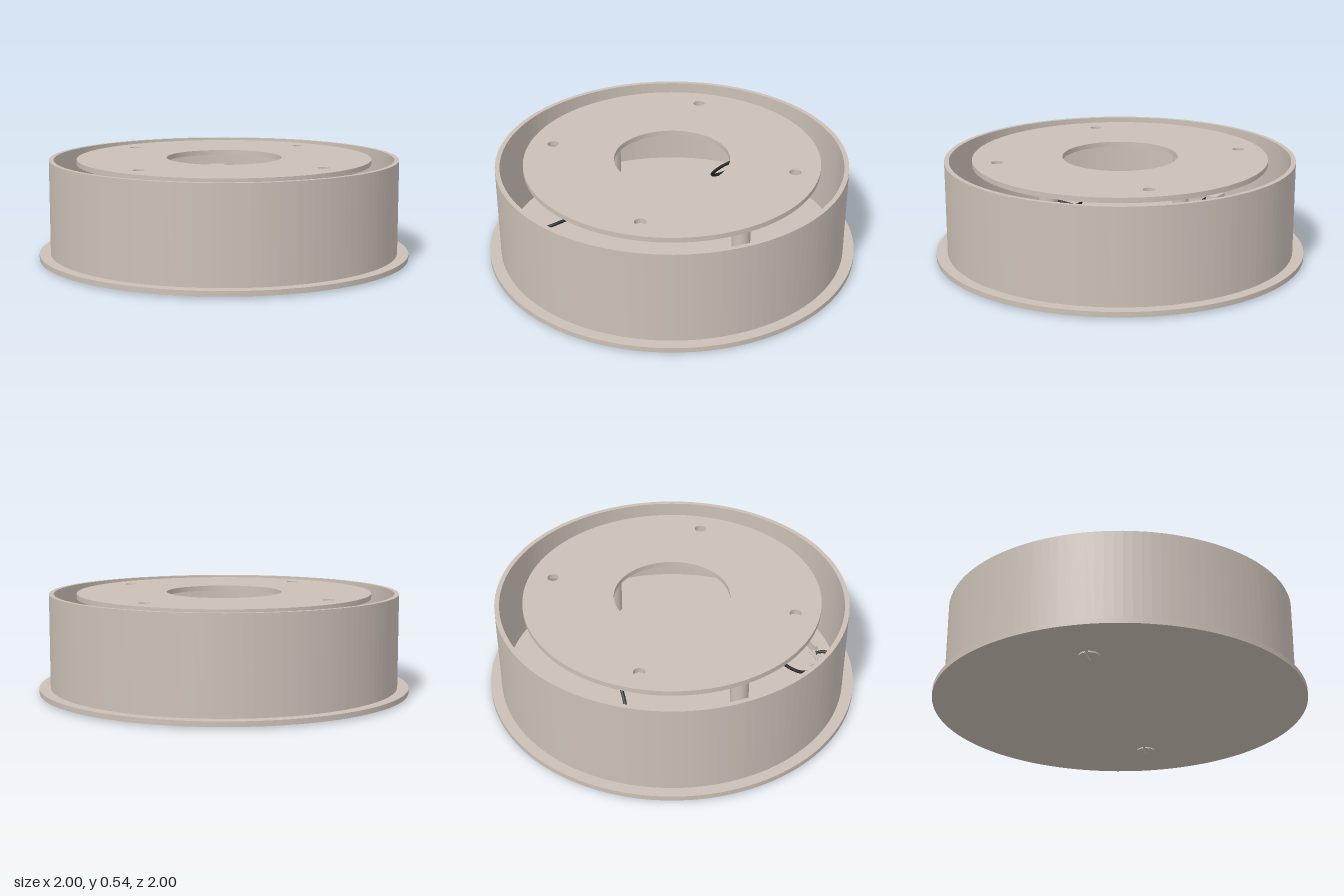
import * as THREE from 'three';

const shell = new THREE.MeshStandardMaterial({ color: 0xcbc0b6 });
const dark = new THREE.MeshStandardMaterial({ color: 0x2a2c2c });

function add(parent, name, geometry, material, x = 0, y = 0, z = 0) {
  const mesh = new THREE.Mesh(geometry, material);
  mesh.name = name;
  mesh.position.set(x, y, z);
  parent.add(mesh);
  return mesh;
}

// Flat round plate with circular holes [x, z, radius], lying on y = 0
function plate(radius, height, holes) {
  const shape = new THREE.Shape().absarc(0, 0, radius, 0, Math.PI * 2);
  for (const [x, z, r] of holes) {
    shape.holes.push(new THREE.Path().absarc(x, -z, r, 0, Math.PI * 2, true));
  }
  const g = new THREE.ExtrudeGeometry(shape, { depth: height, bevelEnabled: false, curveSegments: 64 });
  return g.rotateX(-Math.PI / 2);
}

function wire(points, radius) {
  const curve = new THREE.CatmullRomCurve3(points.map(p => new THREE.Vector3(...p)));
  return new THREE.TubeGeometry(curve, 64, radius, 10);
}

export function createModel() {
  const model = new THREE.Group();
  model.name = 'roundHousing';

  // Base flange and the open cylindrical wall
  add(model, 'basePlate', new THREE.CylinderGeometry(1, 1, 0.027, 128), shell, 0, 0.0215, 0);
  add(model, 'outerWall', plate(0.94, 0.505, [[0, 0, 0.915]]), shell, 0, 0.035, 0);

  // Mounting disc with a central opening and four screw holes
  const holes = [[0, 0, 0.31]];
  for (const x of [-0.47, 0.47]) for (const z of [-0.47, 0.47]) holes.push([x, z, 0.031]);
  add(model, 'mountingDisc', plate(0.793, 0.027, holes), shell, 0, 0.513, 0);

  for (const x of [-0.663, 0.663]) {
    // Standoff between the base and the disc
    add(model, 'standoff', new THREE.CylinderGeometry(0.047, 0.047, 0.478, 32), shell, x, 0.274, 0);

    // Slotted screw head under the base, made of two half discs
    const screw = new THREE.Group();
    screw.name = 'screwHead';
    for (const turn of [0, Math.PI]) {
      const half = new THREE.Shape().absarc(0, 0, 0.053, 0.13, Math.PI - 0.13);
      const g = new THREE.ExtrudeGeometry(half, { depth: 0.009, bevelEnabled: false, curveSegments: 20 });
      add(screw, 'screwHalf', g.rotateX(-Math.PI / 2).rotateY(turn), shell);
    }
    screw.position.x = x;
    model.add(screw);
  }

  // Mirrored wiring at the front and back
  for (const s of [-1, 1]) {
    const wiring = new THREE.Group();
    wiring.name = s > 0 ? 'frontWiring' : 'backWiring';
    add(wiring, 'cable', wire([
      [-0.325, 0.06, s * 0.745], [-0.335, 0.065, s * 0.78], [-0.378, 0.07, s * 0.803],
      [-0.42, 0.065, s * 0.775], [-0.427, 0.06, s * 0.7], [-0.42, 0.06, s * 0.58],
      [-0.3, 0.16, s * 0.46], [-0.12, 0.32, s * 0.45], [0, 0.4, s * 0.56],
    ], 0.009), dark);
    for (const offset of [0, 0.022]) {
      add(wiring, 'wireLead', wire([
        [-0.41 + offset, 0.055, s * 0.66], [-0.405 + offset, 0.055, s * 0.71],
        [-0.37 + offset, 0.055, s * (0.752 - offset)], [-0.29, 0.055, s * (0.752 - offset)],
      ], 0.007), shell);
    }
    add(wiring, 'clipPlate', new THREE.BoxGeometry(0.3, 0.05, 0.014), shell, -0.15, 0.06, s * 0.768);
    add(wiring, 'wireConnector', new THREE.BoxGeometry(0.09, 0.04, 0.06), shell, 0.01, 0.4, s * 0.59);
    model.add(wiring);
  }
  return model;
}
